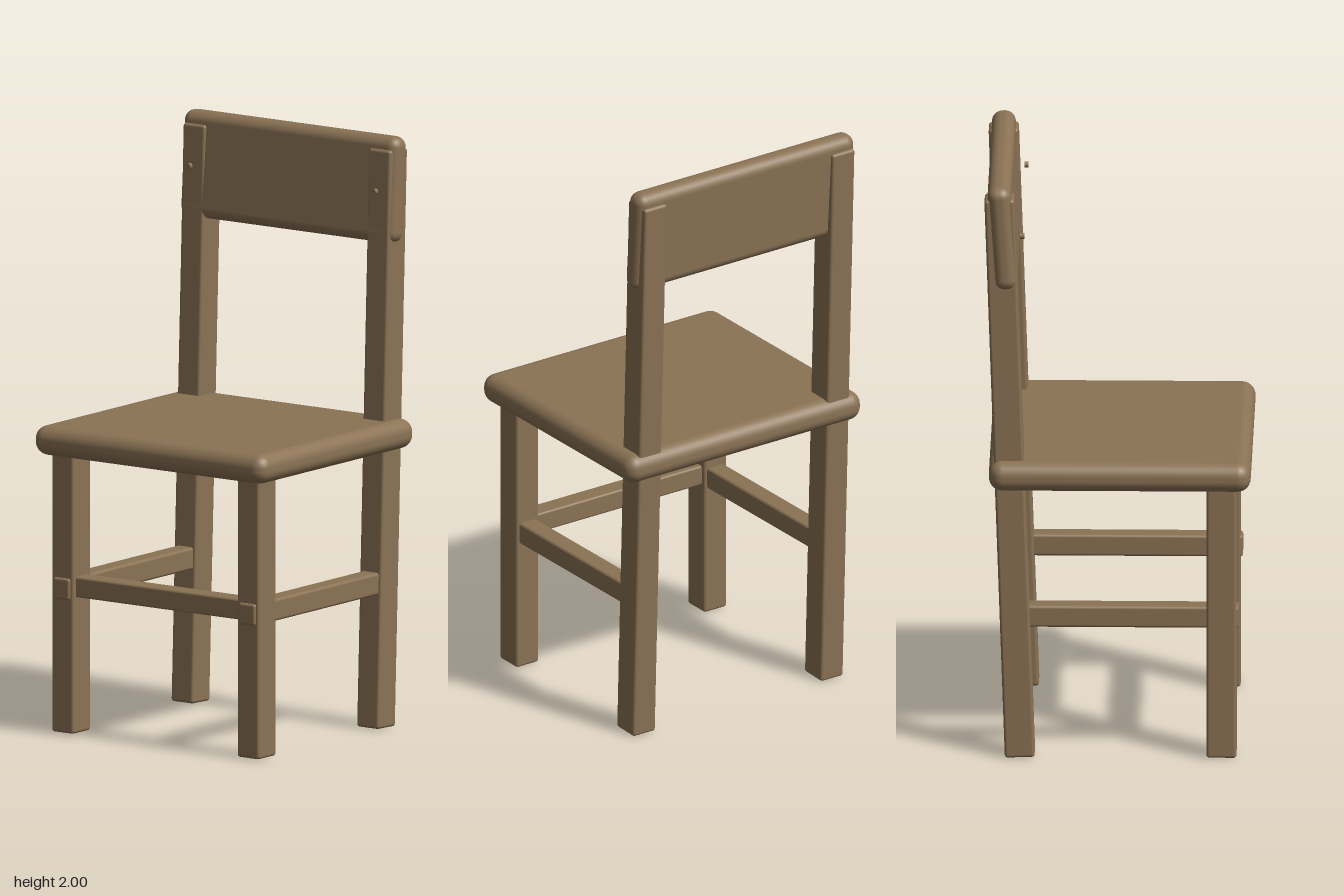
import * as THREE from 'three';
import { RoundedBoxGeometry } from 'three/addons/geometries/RoundedBoxGeometry.js';

export function createModel() {
  const chair = new THREE.Group();
  chair.name = 'chair';
  const wood = new THREE.MeshStandardMaterial({ color: 0x8b7355 });
  wood.name = 'wood';

  // Rounded board: size, edge radius, centre and backward lean
  function board(name, [w, h, d], radius, [x, y, z], lean = 0) {
    const mesh = new THREE.Mesh(new RoundedBoxGeometry(w, h, d, 4, radius), wood);
    mesh.name = name;
    mesh.position.set(x, y, z);
    mesh.rotation.x = -lean;
    chair.add(mesh);
    return mesh;
  }

  board('seat', [0.96, 0.1, 0.874], 0.045, [0, 0.995, 0.008]);
  board('backrest', [0.89, 0.36, 0.08], 0.036, [0, 1.82, -0.384], 0.07);
  board('frontStretcher', [0.72, 0.07, 0.07], 0.008, [0, 0.503, 0.348]);

  for (const [side, s] of [['left', 1], ['right', -1]]) {
    const x = s * 0.384;
    board(side + 'FrontLeg', [0.092, 0.96, 0.1], 0.01, [x, 0.485, 0.347]);
    // Back leg leans backward and carries the backrest
    board(side + 'BackLeg', [0.092, 1.955, 0.1], 0.01, [x, 0.98, -0.36], 0.035);
    // Side stretcher ends in a tenon showing through the front leg
    board(side + 'Stretcher', [0.07, 0.075, 0.735], 0.01, [x, 0.495, 0.037]);

    // Small peg in front of the backrest
    const peg = new THREE.Mesh(new THREE.CylinderGeometry(0.01, 0.01, 0.014, 16), wood);
    peg.name = side + 'Peg';
    peg.rotation.x = Math.PI / 2;
    peg.position.set(x, 1.82, -0.318);
    chair.add(peg);
  }

  return chair;
}
